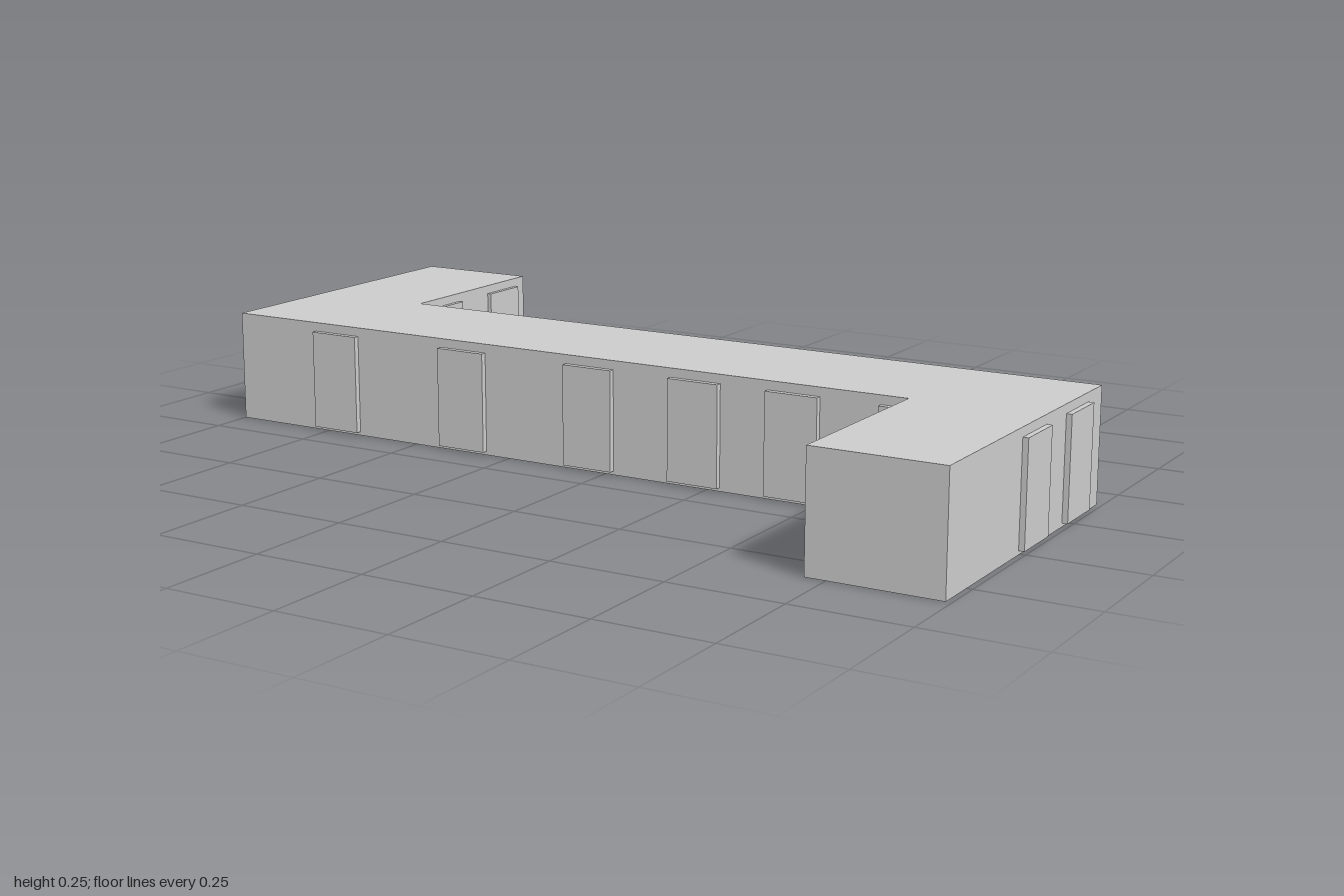
import * as THREE from 'three';

export function createModel() {
  const model = new THREE.Group();
  const material = new THREE.MeshStandardMaterial({ color: 0xcccccc, flatShading: true });

  // Z-shaped building block, plan given as [x, z]
  const plan = [
    [-1, -0.594], [-0.714, -0.594], [-0.714, -0.158], [0.988, -0.158],
    [0.988, 0.592], [0.705, 0.592], [0.705, 0.153], [-1, 0.153],
  ];
  const shape = new THREE.Shape(plan.map(([x, z]) => new THREE.Vector2(x, -z)));
  const walls = new THREE.ExtrudeGeometry(shape, { depth: 0.25, bevelEnabled: false });
  walls.rotateX(-Math.PI / 2);
  const body = new THREE.Mesh(walls, material);
  body.name = 'buildingBody';
  model.add(body);

  // Thin door panels standing proud of the walls
  const width = 0.12, height = 0.222, thickness = 0.03;
  function addPanel(name, x, z, alongX) {
    const geometry = new THREE.BoxGeometry(alongX ? width : thickness, height, alongX ? thickness : width);
    const panel = new THREE.Mesh(geometry, material);
    panel.name = name;
    panel.position.set(x, 0.008 + height / 2, z);
    model.add(panel);
  }

  // Long front and back walls
  for (const x of [-0.72, -0.37, -0.04, 0.22, 0.45, 0.705]) addPanel('frontDoor', x, 0.166 - thickness / 2, true);
  for (const x of [0.8, 0.45, 0.12, -0.135, -0.37, -0.625]) addPanel('backDoor', x, -0.172 + thickness / 2, true);

  // Left end wall and inner wall of the rear wing
  for (const z of [0.197, -0.025]) addPanel('endDoor', 1 - thickness / 2, z, false);
  for (const z of [-0.257, -0.497]) addPanel('wingDoor', -0.704 - thickness / 2, z, false);

  return model;
}
